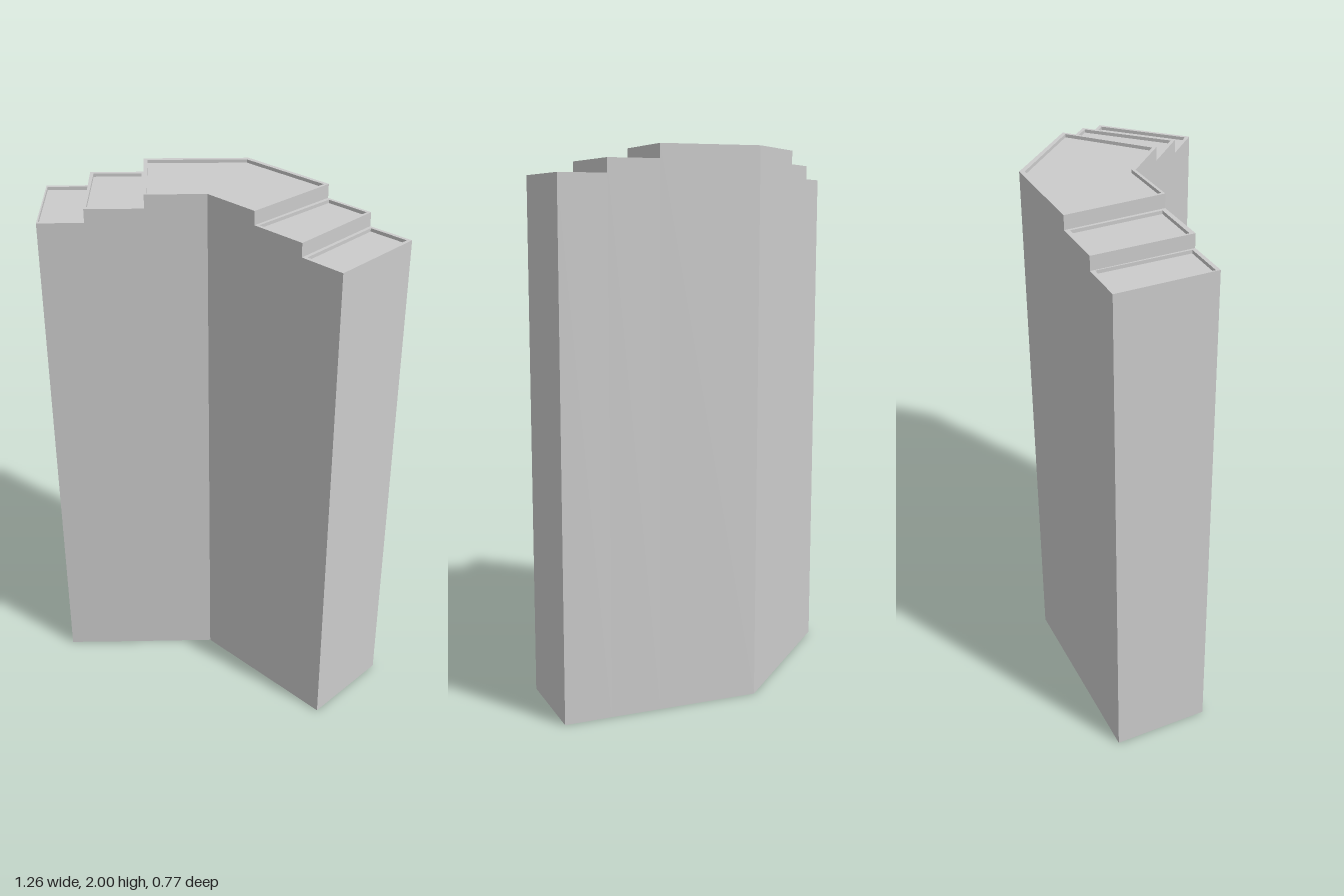
import * as THREE from 'three';

const material = new THREE.MeshStandardMaterial({ color: 0xcccccc, flatShading: true, side: THREE.DoubleSide });
const RECESS = 0.012;

// plan outlines are [x, z] pairs; shapes are drawn in (x, -z) and laid flat
const plan = (pts) => pts.map(([x, z]) => new THREE.Vector2(x, -z));

function flat(pts, y, hole) {
  const shape = new THREE.Shape(plan(pts));
  if (hole) shape.holes.push(new THREE.Path(plan(hole)));
  return new THREE.ShapeGeometry(shape).rotateX(-Math.PI / 2).translate(0, y, 0);
}

// vertical quads along a closed outline; bottoms[i] is the foot of edge i (null = no wall)
function walls(pts, bottoms, top) {
  const pos = [];
  pts.forEach(([ax, az], i) => {
    const b = bottoms[i];
    if (b === null) return;
    const [bx, bz] = pts[(i + 1) % pts.length];
    pos.push(ax, b, az, ax, top, az, bx, top, bz, ax, b, az, bx, top, bz, bx, b, bz);
  });
  const g = new THREE.BufferGeometry();
  g.setAttribute('position', new THREE.Float32BufferAttribute(pos, 3));
  g.computeVertexNormals();
  return g;
}

// outlines run clockwise seen from above, starting at the back left
const sections = [
  { name: 'leftLowStep', y: 1.9, feet: [0, null, 0, 0],
    outer: [[-0.63, -0.388], [-0.468, -0.388], [-0.466, -0.033], [-0.63, -0.033]],
    inner: [[-0.625, -0.375], [-0.472, -0.373], [-0.474, -0.047], [-0.625, -0.047]] },
  { name: 'leftMiddleStep', y: 1.95, feet: [0, null, 0, 1.9],
    outer: [[-0.468, -0.388], [-0.272, -0.388], [-0.26, -0.034], [-0.466, -0.033]],
    inner: [[-0.455, -0.372], [-0.281, -0.372], [-0.273, -0.05], [-0.458, -0.05]] },
  { name: 'cornerTop', y: 2, feet: [0, 0, null, 0, 0, 1.95],
    outer: [[-0.272, -0.388], [0.107, -0.388], [0.373, -0.122], [0.108, 0.117], [-0.045, -0.036], [-0.26, -0.034]],
    inner: [[-0.258, -0.371], [0.1, -0.371], [0.355, -0.12], [0.108, 0.1], [-0.038, -0.047], [-0.25, -0.044]] },
  { name: 'rightMiddleStep', y: 1.95, feet: [0, null, 0, 1.9],
    outer: [[0.373, -0.122], [0.506, 0.011], [0.255, 0.264], [0.108, 0.117]],
    inner: [[0.374, -0.104], [0.49, 0.012], [0.255, 0.246], [0.124, 0.117]] },
  { name: 'rightLowStep', y: 1.9, feet: [0, 0, 0, null],
    outer: [[0.506, 0.011], [0.63, 0.133], [0.376, 0.386], [0.255, 0.264]],
    inner: [[0.506, 0.029], [0.612, 0.133], [0.376, 0.368], [0.273, 0.264]] },
];
// riser between the corner and the right middle step belongs to the corner
sections[2].feet[2] = 1.95;
sections[3].feet[3] = null;
sections[3].feet[1] = 1.9;

export function createModel() {
  const model = new THREE.Group();
  model.name = 'steppedAngledWall';
  for (const s of sections) {
    const group = new THREE.Group();
    group.name = s.name;
    const floor = s.y - RECESS;
    const parts = {
      Walls: walls(s.outer, s.feet, s.y),
      Rim: flat(s.outer, s.y, s.inner),
      RecessSides: walls(s.inner, s.inner.map(() => floor), s.y),
      Panel: flat(s.inner, floor),
    };
    for (const [part, geometry] of Object.entries(parts)) {
      const mesh = new THREE.Mesh(geometry, material);
      mesh.name = s.name + part;
      group.add(mesh);
    }
    model.add(group);
  }
  return model;
}
